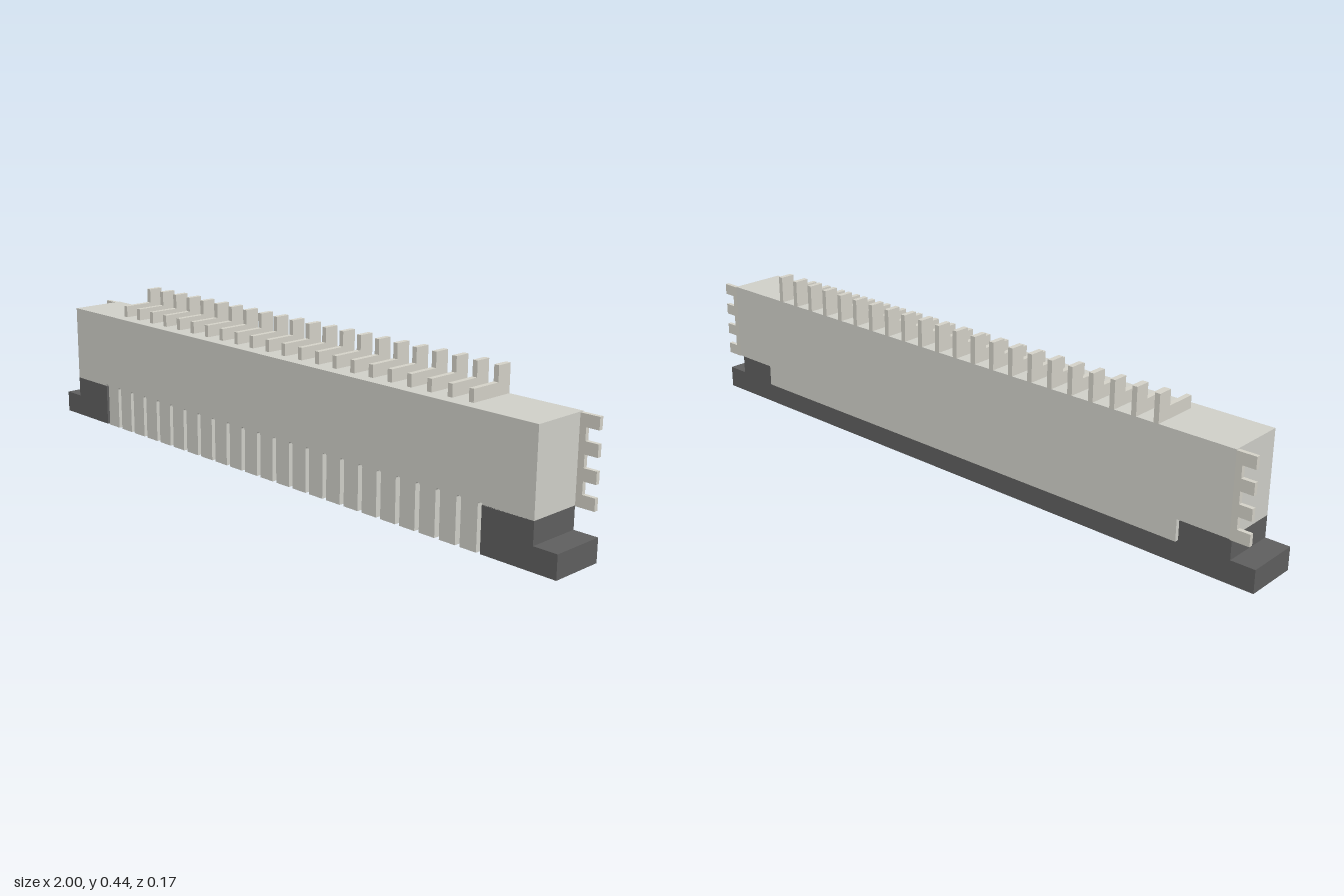
import * as THREE from 'three';

const light = new THREE.MeshStandardMaterial({ color: 0xd2d2cb });
const metal = new THREE.MeshStandardMaterial({ color: 0xd6d4ca });
const dark = new THREE.MeshStandardMaterial({ color: 0x606060 });

const PITCH = 0.067;   // contact spacing
const PINS = 22;
const SLOT = 0.015;    // slot and pin thickness
const FRONT = 0.086, BACK = -0.085, STEP = -0.073;

export function createModel() {
  const model = new THREE.Group();

  const add = (parent, name, geometry, material) => {
    const mesh = new THREE.Mesh(geometry, material);
    mesh.name = name;
    parent.add(mesh);
    return mesh;
  };
  const box = (parent, name, material, [x0, x1], [y0, y1], [z0, z1]) =>
    add(parent, name, new THREE.BoxGeometry(x1 - x0, y1 - y0, z1 - z0), material)
      .position.set((x0 + x1) / 2, (y0 + y1) / 2, (z0 + z1) / 2);
  // extrude an outline in x/y between two depths
  const slab = (shape, z0, z1) =>
    new THREE.ExtrudeGeometry(shape, { depth: z1 - z0, bevelEnabled: false, curveSegments: 6 })
      .translate(0, 0, z0);
  const outline = (pts) => new THREE.Shape(pts.map(([x, y]) => new THREE.Vector2(x, y)));

  // Housing: front wall with teeth separated by round-topped slots
  const housing = new THREE.Group();
  housing.name = 'housing';
  model.add(housing);

  const wall = new THREE.Shape();
  const half = SLOT / 2, top = 0.125;
  wall.moveTo(-0.93, 0.36).lineTo(-0.93, 0.127).lineTo(-0.778, 0.127);
  for (let i = 0; i < PINS + 2; i++) {
    const x = (i - (PINS + 1) / 2) * PITCH;
    if (i > 0) wall.lineTo(x - half, 0);
    wall.lineTo(x - half, top);
    wall.absarc(x, top, half, Math.PI, 0, true);
    if (i <= PINS) wall.lineTo(x + half, 0);
  }
  wall.lineTo(0.93, 0.127).lineTo(0.93, 0.36);
  add(housing, 'slottedFrontWall', slab(wall, 0.05, FRONT), light);

  // Housing core and the rear wall that reaches lower between the ends
  box(housing, 'core', light, [-0.93, 0.93], [0.127, 0.36], [0.005, 0.05]);
  const rear = outline([
    [-0.93, 0.127], [-0.78, 0.127], [-0.78, 0.065], [0.78, 0.065],
    [0.78, 0.127], [0.93, 0.127], [0.93, 0.36], [-0.93, 0.36],
  ]);
  add(housing, 'rearWall', slab(rear, BACK, 0.005), light);

  // Comb-shaped solder tabs at both ends
  for (const side of [-1, 1]) {
    const pts = [[0.93, 0.358], [0.93, 0.125]];
    for (let i = 0; i < 4; i++) {
      const y = 0.125 + i * 0.0667;
      pts.push([0.985, y], [0.985, y + 0.033]);
      if (i < 3) pts.push([0.948, y + 0.033], [0.948, y + 0.0667]);
    }
    const tab = outline(pts.map(([x, y]) => [x * side, y]));
    add(model, side > 0 ? 'leftSolderTab' : 'rightSolderTab', slab(tab, BACK, STEP), metal);
  }

  // Dark slider: a rear bar joining two stepped end blocks
  const slider = new THREE.Group();
  slider.name = 'slider';
  model.add(slider);
  box(slider, 'sliderBar', dark, [-0.78, 0.78], [0, 0.065], [STEP, 0.005]);
  for (const side of [-1, 1]) {
    const block = outline([
      [0.775, 0], [1, 0], [1, 0.065], [0.93, 0.065], [0.93, 0.127], [0.775, 0.127],
    ].map(([x, y]) => [x * side, y]));
    add(slider, side > 0 ? 'leftEndBlock' : 'rightEndBlock', slab(block, STEP, FRONT), dark);
  }

  // L-shaped contact pins along the top
  const pinShape = outline([
    [0.052, 0.36], [0.052, 0.395], [-0.04, 0.395], [-0.04, 0.438], [BACK, 0.438], [BACK, 0.36],
  ].map(([z, y]) => [-z, y]));
  const pinGeometry = slab(pinShape, -half, half).rotateY(Math.PI / 2);
  const pins = new THREE.Group();
  pins.name = 'contactPins';
  model.add(pins);
  for (let i = 0; i < PINS; i++) {
    add(pins, 'contactPin', pinGeometry, metal).position.x = (i - (PINS - 1) / 2) * PITCH;
  }

  return model;
}
